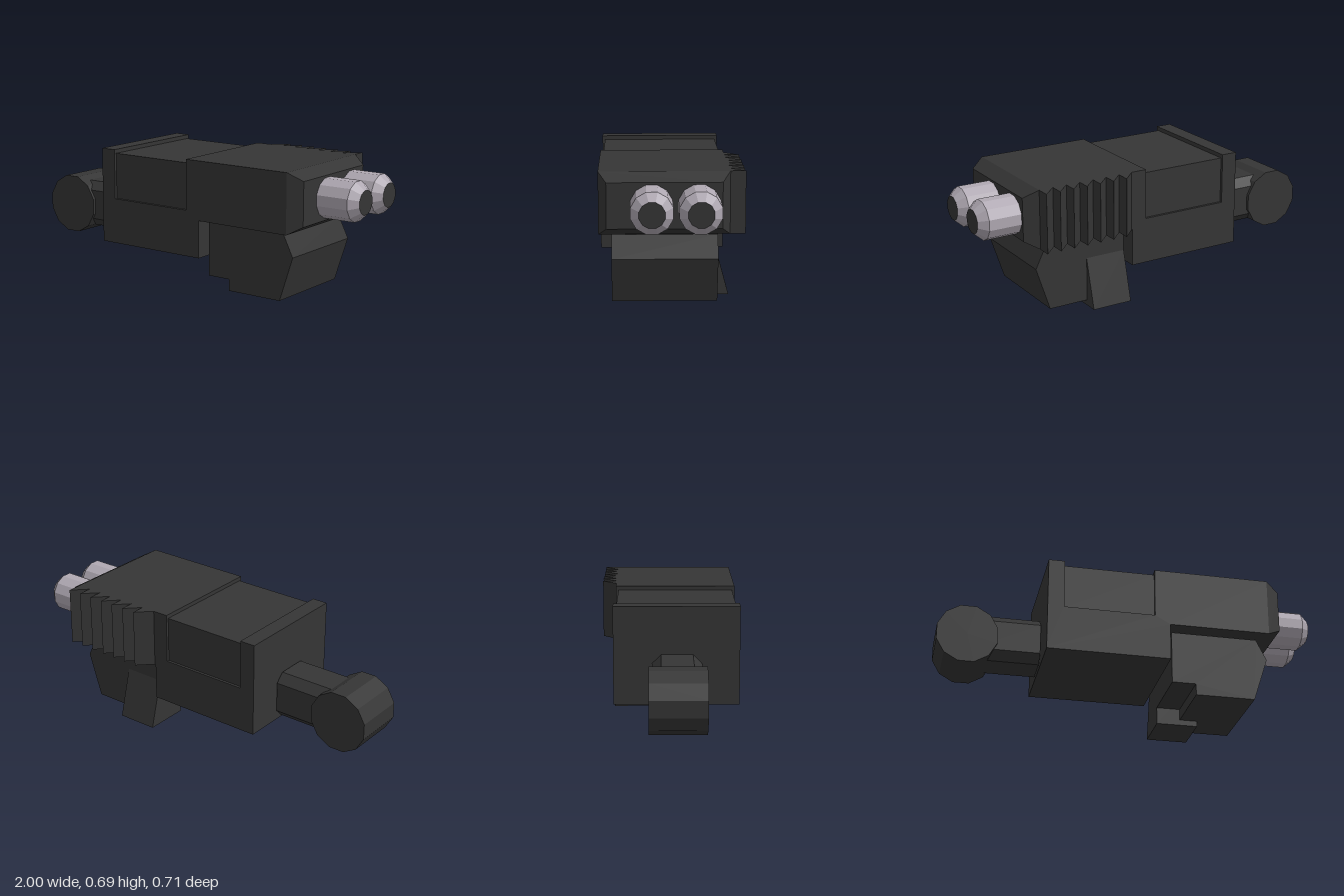
import * as THREE from 'three';

const dark = new THREE.MeshStandardMaterial({ color: 0x353535 });
dark.name = 'charcoal';
const metal = new THREE.MeshStandardMaterial({ color: 0xb0a9b3 });
metal.name = 'pale metal';

// Faceted mesh: every face gets its own normal
function part(parent, name, geometry, material = dark) {
  const g = geometry.index ? geometry.toNonIndexed() : geometry;
  g.computeVertexNormals();
  const mesh = new THREE.Mesh(g, material);
  mesh.name = name;
  parent.add(mesh);
  return mesh;
}

function prism(points, depth) {
  const shape = new THREE.Shape(points.map(([x, y]) => new THREE.Vector2(x, y)));
  return new THREE.ExtrudeGeometry(shape, { depth, bevelEnabled: false });
}

// Side profile (x, y) extruded from z0 to z1
const alongZ = (pts, z0, z1) => prism(pts, z1 - z0).translate(0, 0, z0);
// Cross-section (z, y) extruded from x0 to x1
const alongX = (pts, x0, x1) =>
  prism(pts.map(([z, y]) => [-z, y]), x1 - x0).rotateY(Math.PI / 2).translate(x0, 0, 0);
// Plan (x, z) extruded from y0 to y1
const alongY = (pts, y0, y1) =>
  prism(pts.map(([x, z]) => [x, -z]), y1 - y0).rotateX(-Math.PI / 2).translate(0, y0, 0);

const box = (x0, x1, y0, y1, z0, z1) =>
  new THREE.BoxGeometry(x1 - x0, y1 - y0, z1 - z0)
    .translate((x0 + x1) / 2, (y0 + y1) / 2, (z0 + z1) / 2);

const SIDES = 12;
const TURN = Math.PI / SIDES;
const flatR = 1 / Math.cos(TURN); // flat-to-flat size to corner radius

export function createModel() {
  const model = new THREE.Group();
  model.name = 'twinBarrelDevice';

  // Housing with a gap for the recessed band
  part(model, 'housing', alongZ([
    [-0.46, 0.19], [0.18, 0.19], [0.18, 0.385], [0.71, 0.385], [0.71, 0.693],
    [0.10, 0.693], [0.10, 0.43], [-0.375, 0.43], [-0.375, 0.693], [-0.46, 0.693],
  ], -0.28, 0.355));
  part(model, 'recessedBand', box(-0.375, 0.10, 0.43, 0.672, -0.266, 0.341));

  // Bevelled nose: a box narrowed towards its outer end
  const nose = new THREE.BoxGeometry(0.072, 0.308, 0.635);
  const p = nose.attributes.position;
  for (let i = 0; i < p.count; i++) {
    if (p.getX(i) > 0) {
      p.setY(i, p.getY(i) * 0.73);
      p.setZ(i, p.getZ(i) * 0.874);
    }
  }
  part(model, 'nose', nose.translate(0.746, 0.539, 0.0375));

  // Sawtooth cooling fins on the back
  const fins = new THREE.Group();
  fins.name = 'coolingFins';
  model.add(fins);
  for (let i = 0; i < 7; i++) {
    const tip = 0.26 + i * 0.075;
    part(fins, 'fin', alongY([[tip - 0.075, -0.28], [tip, -0.28], [tip, -0.355]], 0.385, 0.693));
  }

  // Twin barrels with tapered muzzles
  for (const z of [0.1, -0.128]) {
    const barrel = new THREE.Group();
    barrel.name = 'barrel';
    barrel.position.set(0, 0.54, z);
    model.add(barrel);
    const tube = (rEnd, rStart, x0, x1) =>
      new THREE.CylinderGeometry(rEnd * flatR, rStart * flatR, x1 - x0, SIDES, 1, true, TURN)
        .rotateZ(-Math.PI / 2).translate((x0 + x1) / 2, 0, 0);
    part(barrel, 'barrelTube', tube(0.1, 0.1, 0.77, 0.955), metal);
    part(barrel, 'muzzleTaper', tube(0.061, 0.1, 0.955, 1), metal);
    part(barrel, 'bore', new THREE.CircleGeometry(0.061 * flatR, SIDES, TURN)
      .rotateY(Math.PI / 2).translate(1, 0, 0));
  }

  // Block slung beneath the housing
  part(model, 'underBlock', alongZ([
    [0.2, 0.09], [0.325, 0.09], [0.325, 0.03], [0.635, 0.03],
    [0.71, 0.26], [0.655, 0.37], [0.2, 0.37],
  ], -0.225, 0.293));
  part(model, 'slantedFlap', alongX([
    [-0.055, 0], [-0.295, 0], [-0.225, 0.26], [-0.055, 0.26],
  ], 0.2, 0.42));

  // Chamfered rear arm and round end knob
  const h = 0.125, c = 0.08, cy = 0.325, cz = 0.04;
  part(model, 'rearArm', alongX([
    [-c, -h], [c, -h], [h, -c], [h, c], [c, h], [-c, h], [-h, c], [-h, -c],
  ].map(([z, y]) => [z + cz, y + cy]), -0.8, -0.465));
  const r = 0.156 * flatR;
  part(model, 'endKnob', new THREE.CylinderGeometry(r, r, 0.28, SIDES, 1, false, TURN)
    .rotateX(Math.PI / 2).translate(-0.844, 0.316, 0.04));

  return model;
}
